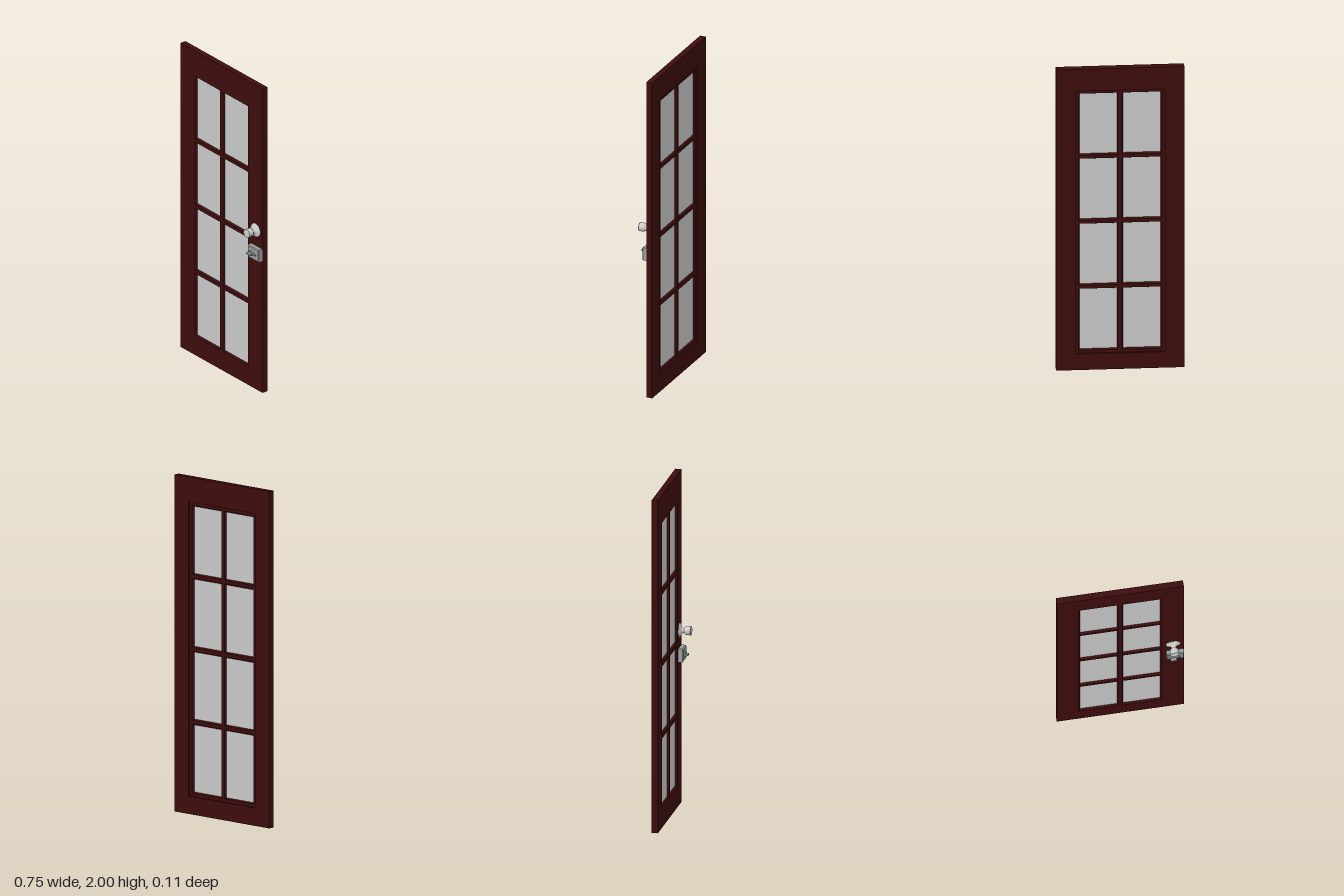
import * as THREE from 'three';

const mat = (name, color) => {
  const m = new THREE.MeshStandardMaterial({ color });
  m.name = name;
  return m;
};

const rectPoints = (x0, y0, x1, y1) =>
  [[x0, y0], [x1, y0], [x1, y1], [x0, y1]].map(([x, y]) => new THREE.Vector2(x, y));

// Flat panel with rectangular openings, extruded from z0 to z1
function panel(outer, holes, z0, z1) {
  const shape = new THREE.Shape(rectPoints(...outer));
  holes.forEach((h) => shape.holes.push(new THREE.Path(rectPoints(...h).reverse())));
  const geo = new THREE.ExtrudeGeometry(shape, { depth: z1 - z0, bevelEnabled: false });
  return geo.translate(0, 0, z0);
}

// Sloping moulding between an outer rectangle at zOuter and an inner one at zInner
function moulding(outer, inner, zOuter, zInner) {
  const a = rectPoints(...outer), b = rectPoints(...inner), pos = [];
  for (let i = 0; i < 4; i++) {
    const j = (i + 1) % 4;
    const quad = [[a[i], zOuter], [a[j], zOuter], [b[j], zInner], [b[i], zInner]];
    const order = zOuter > zInner ? [0, 1, 2, 0, 2, 3] : [0, 2, 1, 0, 3, 2];
    order.forEach((k) => pos.push(quad[k][0].x, quad[k][0].y, quad[k][1]));
  }
  const geo = new THREE.BufferGeometry();
  geo.setAttribute('position', new THREE.Float32BufferAttribute(pos, 3));
  geo.computeVertexNormals();
  return geo;
}

const grow = ([x0, y0, x1, y1], d) => [x0 - d, y0 - d, x1 + d, y1 + d];

export function createModel() {
  const wood = mat('dark red wood', 0x3d0c0d);
  const glass = mat('pale glass', 0xc9c9c9);
  const silver = mat('polished silver', 0xcfcfcd);
  const steel = mat('lock steel', 0x9aa0a0);

  const model = new THREE.Group();
  model.name = 'door';
  const add = (name, geo, material, parent = model) => {
    const mesh = new THREE.Mesh(geo, material);
    mesh.name = name;
    parent.add(mesh);
    return mesh;
  };

  const FRONT = -0.018, BACK = -0.055, LATTICE_BACK = -0.046, GLASS = -0.033;
  const door = [-0.374, 0, 0.374, 2];

  // Eight panes: two columns, four rows
  const panes = [];
  for (let row = 0; row < 4; row++) {
    const y = 0.132 + row * 0.4325;
    for (const x of [-0.236, 0.018]) panes.push([x, y, x + 0.217, y + 0.397]);
  }

  // Door leaf: front lattice, and a back surround with a wider rebate
  add('doorLattice', panel(door, panes.map((p) => grow(p, 0.007)), LATTICE_BACK, FRONT), wood);
  add('backSurround', panel(door, [[-0.262, 0.106, 0.262, 1.853]], BACK, LATTICE_BACK), wood);

  // Glass and its mouldings on both faces
  panes.forEach((p) => {
    add('pane', panel(grow(p, 0.006), [], GLASS - 0.002, GLASS + 0.002), glass);
    add('frontMoulding', moulding(grow(p, 0.007), p, FRONT, GLASS + 0.001), wood);
    add('backMoulding', moulding(grow(p, 0.007), p, LATTICE_BACK, GLASS - 0.001), wood);
  });

  // Knob with round rose, flared neck and drum-shaped grip
  const knob = new THREE.Group();
  knob.name = 'knob';
  knob.position.set(0.311, 1.047, FRONT);
  model.add(knob);
  const lathe = (pts) =>
    new THREE.LatheGeometry(pts.map(([r, h]) => new THREE.Vector2(r, h)), 32).rotateX(Math.PI / 2);
  add('rose', lathe([[0.042, 0], [0.042, 0.004], [0.039, 0.006]]), silver, knob);
  add('neck', lathe([[0.039, 0.006], [0.027, 0.01], [0.018, 0.016], [0.014, 0.02],
    [0.014, 0.028], [0.018, 0.031]]), silver, knob);
  add('grip', lathe([[0.014, 0.03], [0.021, 0.032], [0.024, 0.037], [0.026, 0.05],
    [0.027, 0.068]]), silver, knob);
  add('gripFace', lathe([[0.027, 0.068], [0.025, 0.071], [0, 0.071]]), silver, knob);

  // Latch box with bevelled front edges
  const lock = new THREE.Group();
  lock.name = 'lock';
  lock.position.set(0.321, 0.905, FRONT);
  model.add(lock);
  const box = [-0.051, -0.04, 0.051, 0.04], face = grow(box, -0.006);
  add('lockBody', panel(box, [], 0, 0.024), steel, lock);
  const cap = panel(box, [], 0.024, 0.03);
  const p = cap.attributes.position;
  for (let i = 0; i < p.count; i++) {
    if (p.getZ(i) > 0.027) {
      p.setXY(i, Math.sign(p.getX(i)) * face[2], Math.sign(p.getY(i)) * face[3]);
    }
  }
  cap.computeVertexNormals();
  add('lockCap', cap, steel, lock);

  // Thumb turn: oval boss, upright blade and side lever
  const boss = new THREE.CylinderGeometry(0.022, 0.024, 0.008, 24).rotateX(Math.PI / 2);
  add('turnBoss', boss.scale(1, 0.6, 1), steel, lock).position.set(-0.012, 0, 0.034);
  add('turnBlade', new THREE.BoxGeometry(0.036, 0.009, 0.02), steel, lock).position.set(-0.014, 0, 0.045);
  add('turnLever', new THREE.BoxGeometry(0.022, 0.008, 0.006), steel, lock).position.set(0.018, 0, 0.033);

  return model;
}
